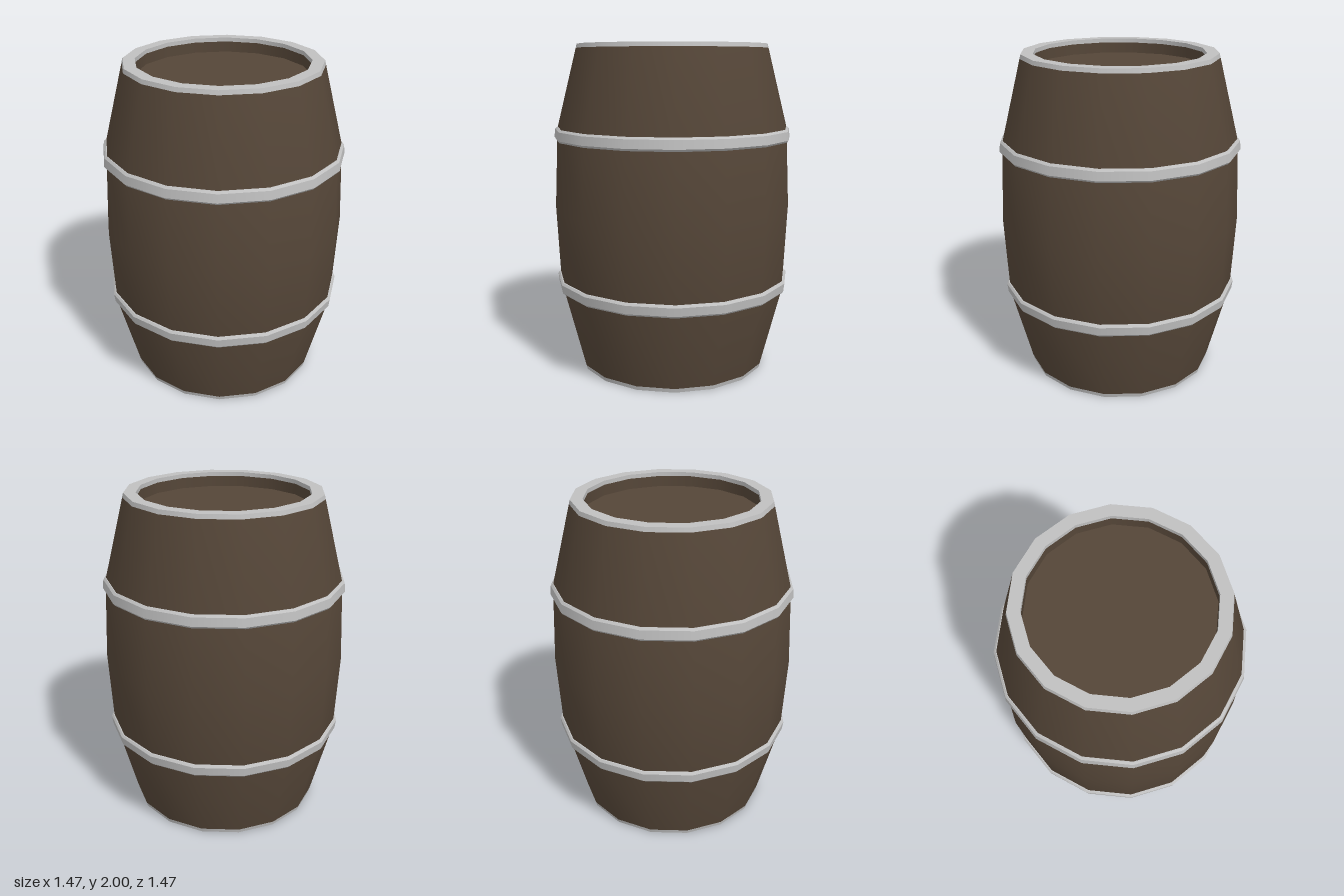
import * as THREE from 'three';
import { mergeGeometries } from 'three/addons/utils/BufferGeometryUtils.js';

const SIDES = 16;
const wood = new THREE.MeshStandardMaterial({ color: 0x554638 });
wood.name = 'dark wood';
const metal = new THREE.MeshStandardMaterial({ color: 0xc0c0c0 });
metal.name = 'grey metal';

// Turn a profile of [radius, y] points, listed upwards on the outside
function turn(points) {
  return new THREE.LatheGeometry(points.map(([r, y]) => new THREE.Vector2(r, y)), SIDES);
}

// Closed profile turned with a sharp edge at every corner, smooth around the axis
function turnRing(points) {
  return mergeGeometries(points.map((p, i) => turn([p, points[(i + 1) % points.length]])));
}

function add(group, name, geometry, material) {
  const mesh = new THREE.Mesh(geometry, material);
  mesh.name = name;
  group.add(mesh);
  return mesh;
}

export function createModel() {
  const barrel = new THREE.Group();
  barrel.name = 'barrel';

  // Bulging staves
  add(barrel, 'staves', turn([
    [0.588, 0.025], [0.712, 0.51], [0.735, 1], [0.712, 1.49], [0.588, 1.975],
  ]), wood);

  // Upper and lower halves mirror each other about y = 1
  for (const top of [true, false]) {
    const end = top ? 'top' : 'bottom';
    const flip = (pts) => (top ? pts : pts.map(([r, y]) => [r, 2 - y]).reverse());

    // Hoop with chamfered edges
    add(barrel, `${end}Hoop`, turnRing(flip([
      [0.70, 1.42], [0.722, 1.425], [0.732, 1.437], [0.726, 1.488], [0.714, 1.50], [0.70, 1.50],
    ])), metal);

    // Rim around the open end
    add(barrel, `${end}Rim`, turnRing(flip([
      [0.51, 1.975], [0.588, 1.975], [0.582, 2], [0.51, 2],
    ])), metal);

    // Inner wall above the recessed head
    add(barrel, `${end}InnerWall`, turn(flip([[0.512, 1.975], [0.512, 1.91]])), wood);

    // Recessed head
    add(barrel, `${end}Head`, turn(flip([[0.512, 1.91], [0, 1.91]])), wood);
  }
  return barrel;
}
